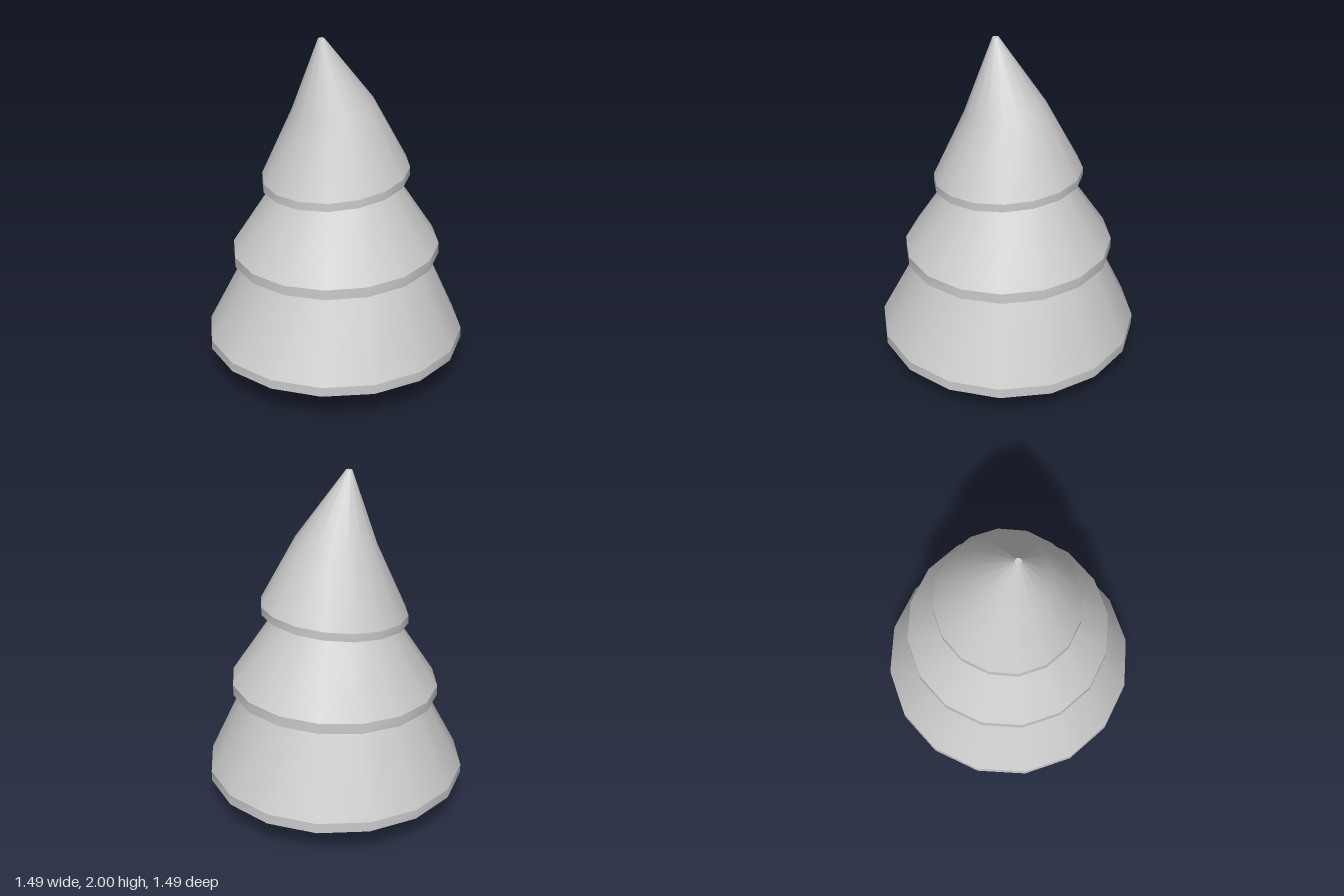
import * as THREE from 'three';

const SIDES = 16;
const material = new THREE.MeshStandardMaterial({ color: 0xcccccc });

// Smooth skin through a list of tilted rings [centreX, y, radius, tilt]
function skin(name, rings) {
  const positions = [], index = [];
  for (const [cx, y, r, tilt] of rings) {
    for (let j = 0; j < SIDES; j++) {
      const a = (j / SIDES) * Math.PI * 2;
      const dx = r * Math.cos(a);
      positions.push(cx + dx, y + tilt * dx, r * Math.sin(a));
    }
  }
  for (let i = 0; i < rings.length - 1; i++) {
    for (let j = 0; j < SIDES; j++) {
      const k = (j + 1) % SIDES;
      const a = i * SIDES + j, b = a + SIDES, c = i * SIDES + k, d = c + SIDES;
      index.push(a, b, c, b, d, c);
    }
  }
  const geometry = new THREE.BufferGeometry();
  geometry.setAttribute('position', new THREE.Float32BufferAttribute(positions, 3));
  geometry.setIndex(index);
  geometry.computeVertexNormals();
  const mesh = new THREE.Mesh(geometry, material);
  mesh.name = name;
  return mesh;
}

// One layer of branches: hollow underside, thin rim, sloping outside
function tier(name, { under, rimBottom, rimTop, slope }) {
  const group = new THREE.Group();
  group.name = name;
  group.add(
    skin('underside', [under, rimBottom]),
    skin('rim', [rimBottom, rimTop]),
    skin('slope', [rimTop, ...slope])
  );
  return group;
}

export function createModel() {
  const tree = new THREE.Group();
  tree.name = 'tree';

  // Trunk, reaching up into the hollow bottom tier
  const trunk = new THREE.Mesh(new THREE.CylinderGeometry(0.243, 0.243, 0.46, SIDES), material);
  trunk.name = 'trunk';
  trunk.position.y = 0.23;
  tree.add(trunk);

  // Three tiers that lean further towards -x as they rise
  tree.add(tier('bottomTier', {
    under: [0, 0.43, 0.2, 0],
    rimBottom: [0, 0.183, 0.745, 0],
    rimTop: [0, 0.24, 0.745, 0.005],
    slope: [[0.01, 0.7, 0.523, 0.035], [0.005, 0.95, 0.4, 0.05]],
  }));
  tree.add(tier('middleTier', {
    under: [0, 0.92, 0.1, 0.035],
    rimBottom: [0.005, 0.708, 0.595, 0.035],
    rimTop: [0.005, 0.768, 0.595, 0.04],
    slope: [[-0.005, 1.165, 0.338, 0.09], [-0.02, 1.4, 0.18, 0.1]],
  }));
  tree.add(tier('topTier', {
    under: [0, 1.3, 0.08, 0.1],
    rimBottom: [0.005, 1.167, 0.42, 0.105],
    rimTop: [0.006, 1.215, 0.42, 0.108],
    slope: [[-0.01, 1.6, 0.232, 0.13], [-0.096, 1.998, 0.018, 0.1]],
  }));

  // Flat cap closing the tip
  const cap = new THREE.Mesh(new THREE.CircleGeometry(0.018, SIDES), material);
  cap.name = 'tipCap';
  cap.rotation.set(-Math.PI / 2, Math.atan(-0.1), 0);
  cap.position.set(-0.096, 1.998, 0);
  tree.add(cap);

  return tree;
}
